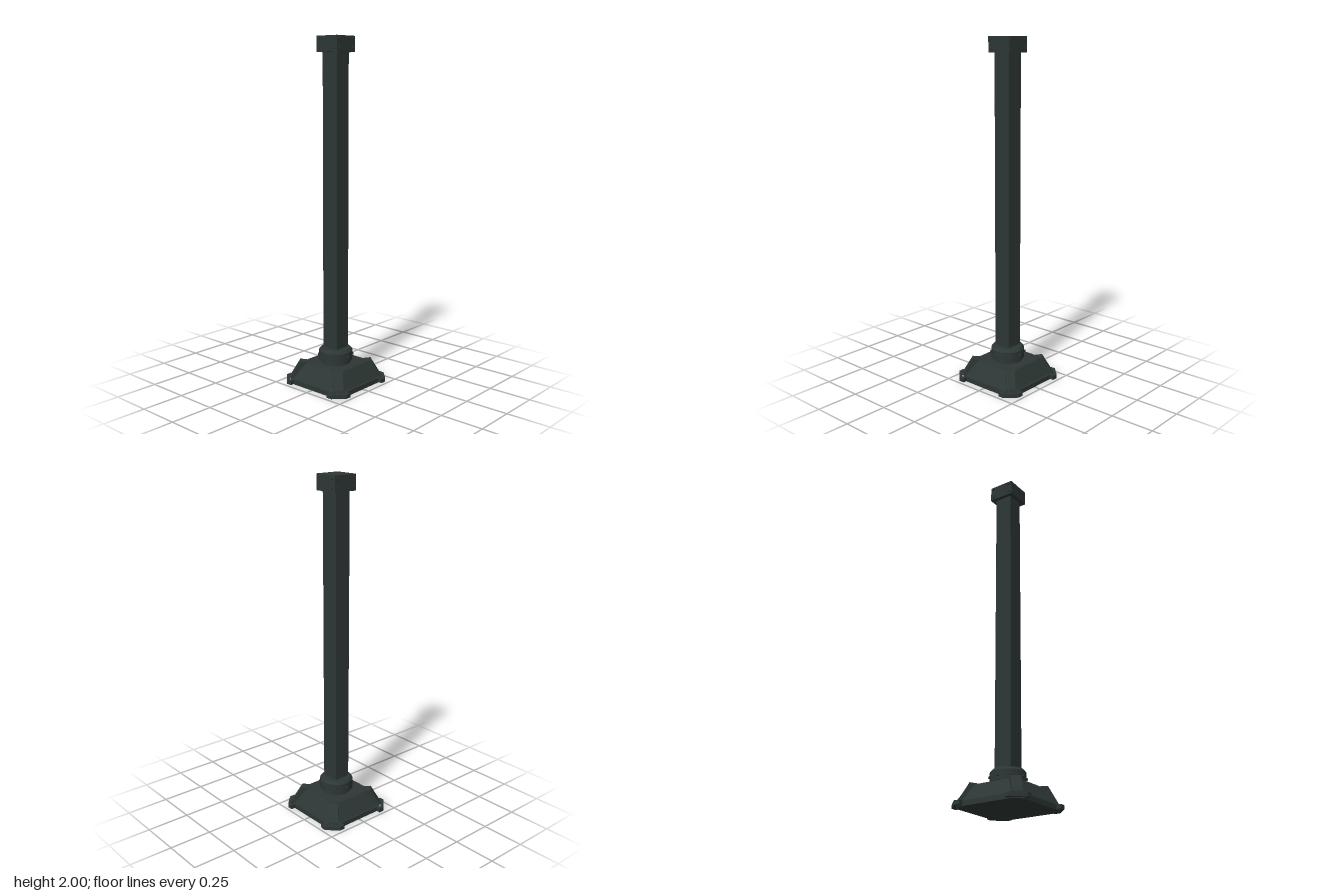
import * as THREE from 'three';

const iron = new THREE.MeshStandardMaterial({ color: 0x2d3735 });
iron.name = 'dark iron';

function part(parent, name, geometry) {
  const mesh = new THREE.Mesh(geometry, iron);
  mesh.name = name;
  parent.add(mesh);
  return mesh;
}

// Polygon in x/z extruded upwards from y0 to y1
function slab(points, y0, y1) {
  const shape = new THREE.Shape(points.map(([x, z]) => new THREE.Vector2(x, -z)));
  const g = new THREE.ExtrudeGeometry(shape, { depth: y1 - y0, bevelEnabled: false });
  return g.rotateX(-Math.PI / 2).translate(0, y0, 0);
}

// Square outline with cut corners
function cutSquare(h, c) {
  const k = h - c;
  return [[h, k], [k, h], [-k, h], [-h, k], [-h, -k], [-k, -h], [k, -h], [h, -k]];
}

// Four-sided tapered block, given half widths
function taper(bottom, top, y0, y1) {
  const r = Math.SQRT2;
  const g = new THREE.CylinderGeometry(top * r, bottom * r, y1 - y0, 4).toNonIndexed();
  g.rotateY(Math.PI / 4).translate(0, (y0 + y1) / 2, 0);
  g.computeVertexNormals();
  return g;
}

// Bolt head pointing outwards along +z
function bolt(parent, x, y, z, r, depth) {
  const g = new THREE.CylinderGeometry(r * 0.8, r, depth, 8);
  part(parent, 'bolt', g.rotateX(Math.PI / 2).translate(x, y, z + depth / 2));
}

export function createModel() {
  const model = new THREE.Group();
  model.name = 'post';

  // Footing
  const base = new THREE.Group();
  base.name = 'base';
  model.add(base);
  part(base, 'basePlate', slab(cutSquare(0.208, 0.042), 0.004, 0.032));
  part(base, 'basePlinth', taper(0.197, 0.145, 0.03, 0.125));

  // Corner buttresses and carrying handles
  for (let i = 0; i < 4; i++) {
    const corner = new THREE.Group();
    corner.name = 'baseCorner';
    corner.rotation.y = i * Math.PI / 2;
    base.add(corner);

    const profile = new THREE.Shape([
      [0.165, 0.03], [0.264, 0.03], [0.262, 0.045], [0.208, 0.134], [0.168, 0.13],
    ].map(p => new THREE.Vector2(...p)));
    const rib = new THREE.ExtrudeGeometry(profile, { depth: 0.056, bevelEnabled: false });
    rib.translate(0, 0, -0.028).rotateY(-Math.PI / 4);
    part(corner, 'buttress', rib);

    const handle = [
      [0.14, 0.2], [0.14, 0.236], [0.173, 0.236], [0.236, 0.173], [0.236, 0.14], [0.2, 0.14],
      [0.2, 0.158], [0.216, 0.158], [0.216, 0.166], [0.166, 0.216], [0.158, 0.216], [0.158, 0.2],
    ];
    part(corner, 'handle', slab(handle, 0.008, 0.032));
  }

  // Round collar with bolts
  const collar = new THREE.Group();
  collar.name = 'collar';
  model.add(collar);
  const rings = [[0.086, 0.086, 0.12, 0.142], [0.098, 0.098, 0.142, 0.198], [0.098, 0.084, 0.198, 0.214]];
  for (const [rb, rt, y0, y1] of rings) {
    part(collar, 'collarRing', new THREE.CylinderGeometry(rt, rb, y1 - y0, 32).translate(0, (y0 + y1) / 2, 0));
  }
  for (let i = 0; i < 8; i++) {
    const arm = new THREE.Group();
    arm.name = 'collarBolt';
    arm.rotation.y = i * Math.PI / 4;
    collar.add(arm);
    bolt(arm, 0, 0.17, 0.096, 0.009, 0.009);
  }

  // Shaft with narrow cut edges
  part(model, 'shaftFoot', slab(cutSquare(0.048, 0.006), 0.205, 0.225));
  part(model, 'shaft', slab(cutSquare(0.053, 0.004), 0.22, 1.92));

  // Square cap with four bolts on every side
  const cap = new THREE.Group();
  cap.name = 'cap';
  model.add(cap);
  part(cap, 'capBlock', slab(cutSquare(0.076, 0.002), 1.912, 2));
  for (let i = 0; i < 4; i++) {
    const side = new THREE.Group();
    side.name = 'capBolts';
    side.rotation.y = i * Math.PI / 2;
    cap.add(side);
    for (const x of [-0.056, 0.056]) {
      for (const y of [1.934, 1.984]) bolt(side, x, y, 0.075, 0.008, 0.006);
    }
  }

  model.position.y = 0;
  return model;
}
